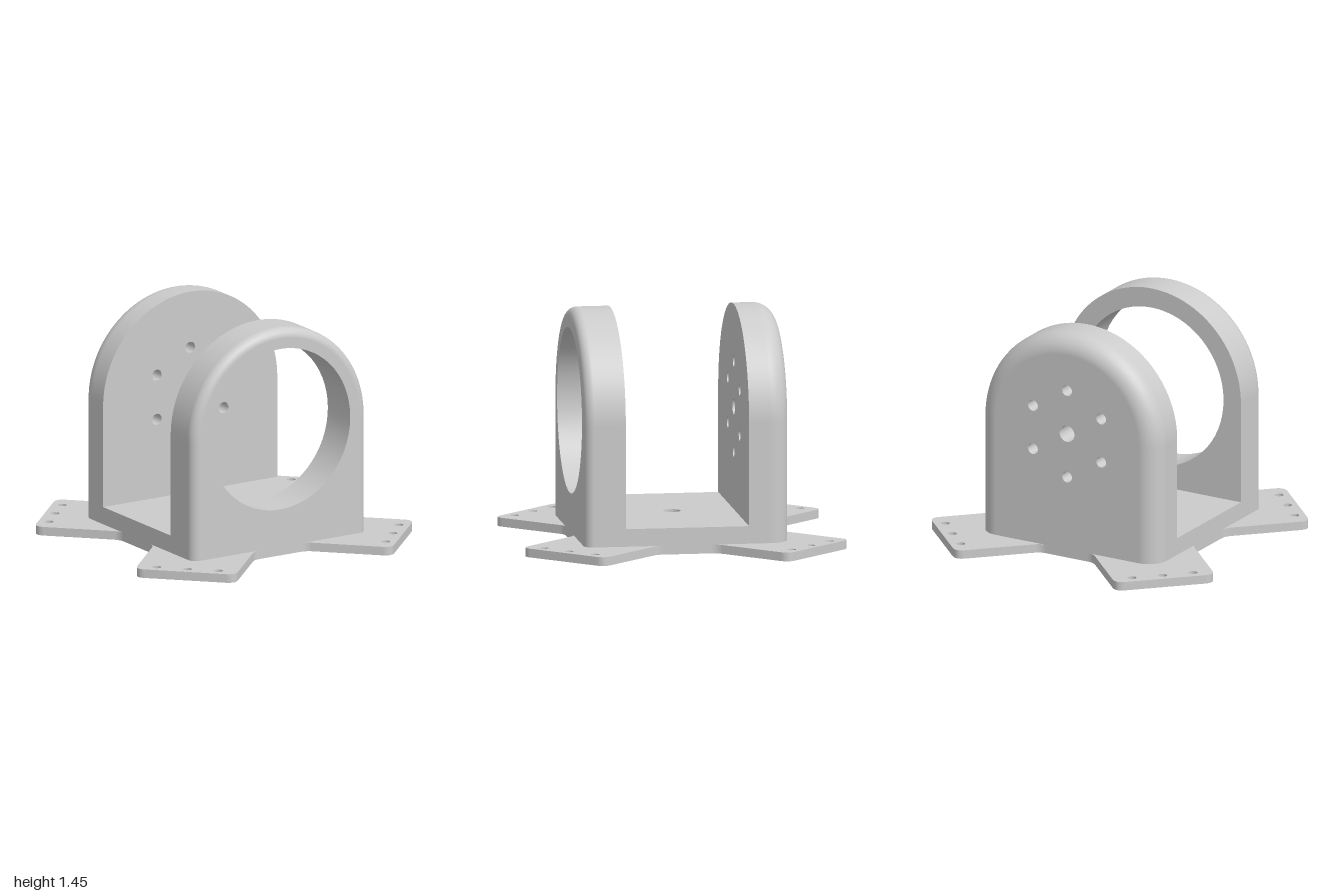
import * as THREE from 'three';
import { toCreasedNormals } from 'three/addons/utils/BufferGeometryUtils.js';

const HALF = 0.64, INNER = 0.385, AXIS = 0.81, PLATE = 0.055, FLOOR = 0.165;
const material = new THREE.MeshStandardMaterial({ color: 0xcccccc });
const thin = new THREE.MeshStandardMaterial({ color: 0xcccccc, side: THREE.DoubleSide });

function add(parent, name, geometry, mat = material) {
  const mesh = new THREE.Mesh(geometry, mat);
  mesh.name = name;
  parent.add(mesh);
  return mesh;
}

function hole(shape, x, y, r) {
  shape.holes.push(new THREE.Path().absarc(x, y, r, 0, Math.PI * 2, true));
}

// Closed outline whose corners [x, y, cut] are rounded
function roundedShape(corners) {
  const shape = new THREE.Shape();
  const pts = corners.map(([x, y]) => new THREE.Vector2(x, y));
  pts.forEach((p, i) => {
    const toward = (q) => p.clone().add(q.clone().sub(p).setLength(corners[i][2]));
    const a = toward(pts[(i + pts.length - 1) % pts.length]);
    const b = toward(pts[(i + 1) % pts.length]);
    if (i === 0) shape.moveTo(a.x, a.y); else shape.lineTo(a.x, a.y);
    shape.quadraticCurveTo(p.x, p.y, b.x, b.y);
  });
  shape.closePath();
  return shape;
}

// Extrude upward from height y0 to y1
function slab(shape, y0, y1) {
  const g = new THREE.ExtrudeGeometry(shape, { depth: y1 - y0, bevelEnabled: false, curveSegments: 16 });
  return toCreasedNormals(g.rotateX(-Math.PI / 2).translate(0, y0, 0), 0.6);
}

function archShape(r, holes) {
  const s = new THREE.Shape();
  s.moveTo(-r, PLATE);
  s.lineTo(r, PLATE);
  s.absarc(0, AXIS, r, 0, Math.PI, false);
  s.closePath();
  holes.forEach(([x, y, hr]) => hole(s, x, y, hr));
  return s;
}

// Arched outer skin, rounded over toward the outside face
function archRim(fillet) {
  const rows = [[HALF, INNER, 0]], contour = [[0, true]], seg = 64, steps = 12;
  for (let i = 0; i <= steps; i++) {
    const a = (i / steps) * Math.PI / 2;
    rows.push([HALF - fillet + fillet * Math.cos(a), HALF - fillet + fillet * Math.sin(a), a]);
  }
  for (let i = 0; i <= seg; i++) contour.push([(i / seg) * Math.PI, false]);
  contour.push([Math.PI, true]);
  const pos = [], nor = [], idx = [], n = contour.length;
  rows.forEach(([r, z, a], j) => contour.forEach(([t, foot], i) => {
    pos.push(r * Math.cos(t), foot ? PLATE : AXIS + r * Math.sin(t), z);
    nor.push(Math.cos(a) * Math.cos(t), Math.cos(a) * Math.sin(t), Math.sin(a));
    if (j && i) {
      const d = j * n + i, c = d - 1, b = d - n, e = b - 1;
      idx.push(e, b, d, e, d, c);
    }
  }));
  // Keep faces turned outward
  for (let k = 0; k < idx.length; k += 3) [idx[k + 1], idx[k + 2]] = [idx[k + 2], idx[k + 1]];
  const g = new THREE.BufferGeometry();
  g.setAttribute('position', new THREE.Float32BufferAttribute(pos, 3));
  g.setAttribute('normal', new THREE.Float32BufferAttribute(nor, 3));
  g.setIndex(idx);
  return g;
}

function wall(name, fillet, holes) {
  const g = new THREE.Group();
  g.name = name;
  add(g, 'roundedRim', archRim(fillet), thin);
  add(g, 'outerFace', new THREE.ShapeGeometry(archShape(HALF - fillet, holes), 32).translate(0, 0, HALF));
  add(g, 'innerFace', new THREE.ShapeGeometry(archShape(HALF, holes), 32).rotateY(Math.PI).translate(0, 0, INNER));
  holes.forEach(([x, y, r]) => {
    const bore = new THREE.CylinderGeometry(r, r, HALF - INNER, r > 0.3 ? 64 : 32, 1, true);
    add(g, 'bore', bore.rotateX(Math.PI / 2).translate(x, y, (HALF + INNER) / 2), thin);
  });
  return g;
}

export function createModel() {
  const model = new THREE.Group();
  model.name = 'motorBracket';

  // Four-armed base plate, one quadrant repeated by turning
  const quadrant = [[0.64, 0.19, 0.04], [1.025, 0.575, 0.065], [0.575, 1.025, 0.065], [0.19, 0.64, 0.04]];
  const corners = [];
  for (let q = 0; q < 4; q++) {
    const c = [1, 0, -1, 0][q], s = [0, 1, 0, -1][q];
    quadrant.forEach(([x, y, cut]) => corners.push([c * x - s * y, s * x + c * y, cut]));
  }
  const plate = roundedShape(corners);
  for (const sx of [-1, 1]) for (const sy of [-1, 1]) {
    for (const [x, y] of [[0.615, 0.89], [0.755, 0.755], [0.89, 0.615]]) hole(plate, sx * x, sy * y, 0.027);
  }
  // Underside: nut pocket, ring of sockets, two bolt holes
  const hex = [];
  for (let i = 0; i < 6; i++) {
    const a = (-i * Math.PI) / 3;
    hex.push(new THREE.Vector2(0.145 * Math.cos(a), 0.145 * Math.sin(a)));
  }
  plate.holes.push(new THREE.Path(hex));
  for (let i = 0; i < 8; i++) {
    const a = (i * Math.PI) / 4;
    hole(plate, 0.23 * Math.cos(a), 0.23 * Math.sin(a), 0.047);
  }
  for (const s of [-1, 1]) {
    hole(plate, 0, s * 0.57, 0.025);
    const blind = [[0, 0.2], [0.025, 0.2], [0.025, PLATE]].map(([x, y]) => new THREE.Vector2(x, y));
    add(model, 'boltHole', new THREE.LatheGeometry(blind, 24), thin).position.z = s * 0.57;
  }
  add(model, 'basePlate', slab(plate, 0, PLATE));

  // Floor between the walls
  const floor = new THREE.Shape([[-HALF, -INNER], [HALF, -INNER], [HALF, INNER], [-HALF, INNER]]
    .map(([x, y]) => new THREE.Vector2(x, y)));
  hole(floor, 0, 0, 0.053);
  add(model, 'floor', slab(floor, PLATE, FLOOR));

  // Front ring wall and back mounting wall
  model.add(wall('frontWall', 0.06, [[0, AXIS, 0.515]]));
  const mounts = [[0, AXIS, 0.053]];
  for (let i = 0; i < 6; i++) {
    const a = Math.PI / 2 + (i * Math.PI) / 3;
    mounts.push([0.283 * Math.cos(a), AXIS + 0.283 * Math.sin(a), 0.035]);
  }
  const back = wall('backWall', 0.125, mounts);
  back.rotation.y = Math.PI;
  model.add(back);
  return model;
}
